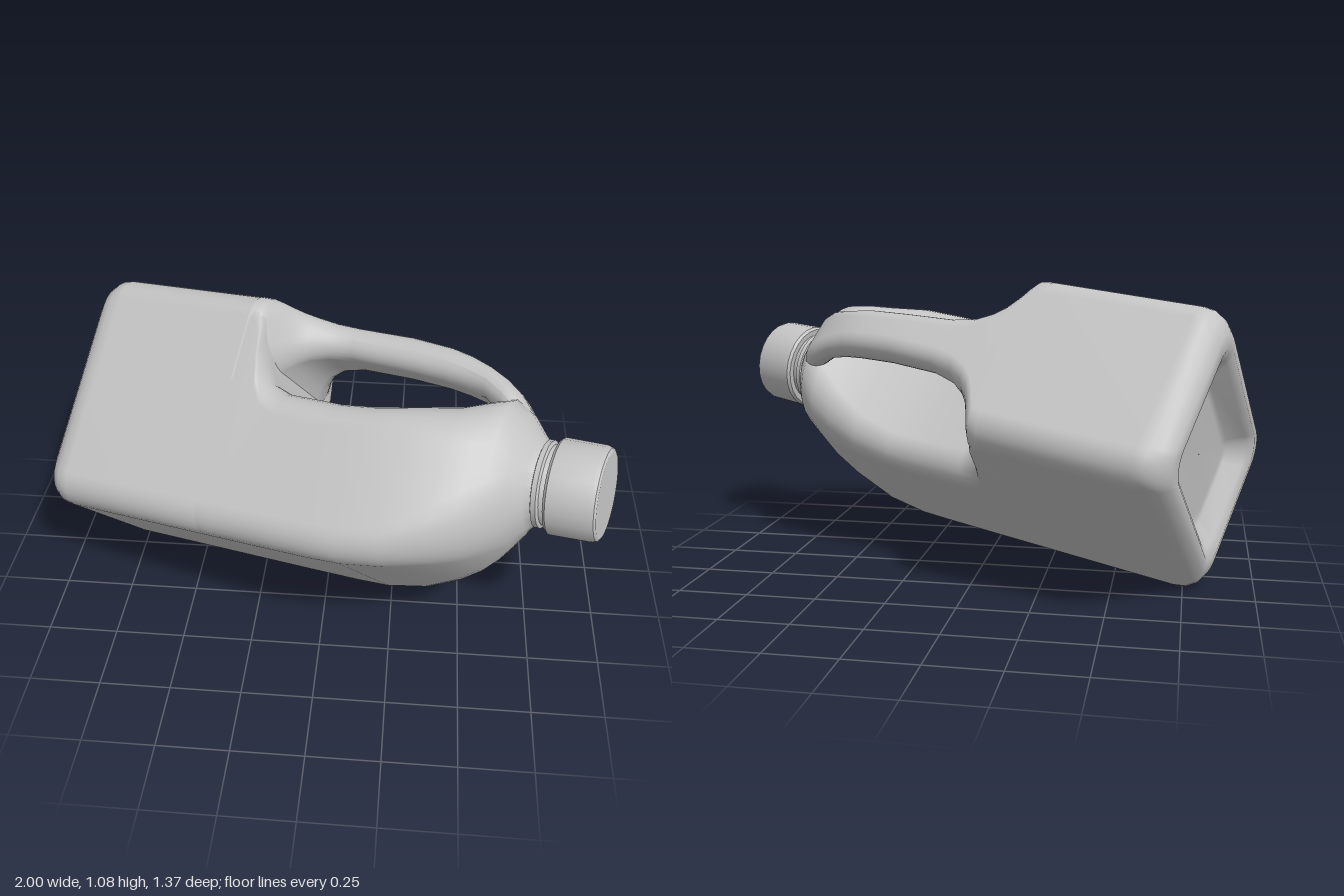
import * as THREE from 'three';
import { toCreasedNormals } from 'three/addons/utils/BufferGeometryUtils.js';

const CORNER = 7; // points per rounded corner

// Skin over rounded-rectangle rings [height, xMin, xMax, half depth, corner radius]
function loft(rings) {
  const pos = [], index = [], n = CORNER * 4;
  for (const [y, x0, x1, b, radius] of rings) {
    const a = (x1 - x0) / 2, c = (x0 + x1) / 2;
    const r = Math.min(radius, a, b);
    for (let q = 0; q < 4; q++) {
      const sx = q === 0 || q === 3 ? 1 : -1, sz = q < 2 ? 1 : -1;
      for (let k = 0; k < CORNER; k++) {
        const t = (q + k / (CORNER - 1)) * Math.PI / 2;
        pos.push(c + sx * (a - r) + r * Math.cos(t), y, sz * (b - r) + r * Math.sin(t));
      }
    }
  }
  for (let i = 0; i < rings.length - 1; i++) {
    for (let j = 0; j < n; j++) {
      const p = i * n + j, q = i * n + (j + 1) % n;
      index.push(p, p + n, q, q, p + n, q + n);
    }
  }
  const g = new THREE.BufferGeometry();
  g.setAttribute('position', new THREE.Float32BufferAttribute(pos, 3));
  g.setIndex(index);
  g.computeVertexNormals();
  return g;
}

function lathe(points, sides) {
  const g = new THREE.LatheGeometry(points.map(([r, y]) => new THREE.Vector2(r, y)), sides);
  return toCreasedNormals(g, 0.5);
}

export function createModel() {
  const plastic = new THREE.MeshStandardMaterial({ color: 0xc4c4c4 });
  plastic.name = 'grey plastic';

  const jug = new THREE.Group();
  jug.name = 'jug';
  const add = (name, geometry) => {
    const m = new THREE.Mesh(geometry, plastic);
    m.name = name;
    jug.add(m);
  };

  // Recessed base and straight sides
  const base = [
    [0.015, -0.001, 0.001, 0.001, 0.001],
    [0.015, -0.22, 0.22, 0.15, 0.05],
    [0.01, -0.25, 0.25, 0.18, 0.06],
    [-0.04, -0.305, 0.305, 0.23, 0.08],
    [-0.06, -0.34, 0.34, 0.262, 0.09],
    [-0.053, -0.378, 0.378, 0.297, 0.09],
    [-0.025, -0.413, 0.413, 0.329, 0.1],
    [0.01, -0.43, 0.43, 0.345, 0.1],
    [0.05, -0.435, 0.435, 0.35, 0.1],
    [0.598, -0.435, 0.435, 0.35, 0.1],
  ];
  // Hand pocket on the +x side, then the shoulder up to the neck
  const pocketAndShoulder = [
    [0.6, -0.435, 0.434, 0.35, 0.1],
    [0.635, -0.435, 0.42, 0.35, 0.1],
    [0.655, -0.435, 0.37, 0.35, 0.1],
    [0.668, -0.435, 0.28, 0.35, 0.1],
    [0.69, -0.435, 0.19, 0.35, 0.1],
    [0.73, -0.435, 0.125, 0.35, 0.1],
    [0.8, -0.435, 0.1, 0.35, 0.1],
    [1.0, -0.434, 0.095, 0.35, 0.1],
    [1.12, -0.43, 0.105, 0.35, 0.1],
    [1.27, -0.405, 0.135, 0.343, 0.12],
    [1.4, -0.36, 0.175, 0.318, 0.16],
    [1.48, -0.32, 0.22, 0.293, 0.19],
    [1.54, -0.275, 0.25, 0.26, 0.2],
    [1.59, -0.225, 0.22, 0.218, 0.2],
    [1.635, -0.165, 0.165, 0.165, 0.165],
    [1.66, -0.14, 0.14, 0.14, 0.14],
    [1.71, -0.135, 0.135, 0.135, 0.135],
  ];
  add('body', loft([...base, ...pocketAndShoulder]));

  // Handle: flares out of the body wall and runs up into the shoulder
  add('handle', loft([
    [0.598, 0, 0.436, 0.351, 0.1],
    [0.64, 0.05, 0.436, 0.345, 0.1],
    [0.66, 0.12, 0.436, 0.315, 0.1],
    [0.68, 0.18, 0.436, 0.268, 0.09],
    [0.71, 0.235, 0.436, 0.212, 0.08],
    [0.75, 0.275, 0.436, 0.165, 0.07],
    [0.81, 0.3, 0.434, 0.127, 0.065],
    [0.9, 0.31, 0.432, 0.105, 0.06],
    [1.1, 0.3, 0.428, 0.095, 0.06],
    [1.25, 0.285, 0.41, 0.095, 0.06],
    [1.33, 0.27, 0.39, 0.095, 0.06],
    [1.41, 0.25, 0.358, 0.1, 0.06],
    [1.48, 0.2, 0.32, 0.115, 0.07],
    [1.54, 0.15, 0.275, 0.12, 0.07],
    [1.6, 0.08, 0.205, 0.09, 0.06],
  ]));

  // Neck ring and screw cap
  add('neckRing', lathe([[0.13, 1.65], [0.15, 1.658], [0.15, 1.675], [0.13, 1.685]], 24));
  add('cap', lathe([[0.12, 1.7], [0.157, 1.7], [0.165, 1.71], [0.162, 1.85],
    [0.156, 1.866], [0.146, 1.872], [0, 1.872]], 24));

  // Lay the jug down on one edge with the cap raised and turned forward
  const up = new THREE.Vector3(0.935, 0.112, 0.347).normalize();
  const out = new THREE.Vector3(0.178, 0.667, -0.724);
  out.addScaledVector(up, -out.dot(up)).normalize();
  const side = new THREE.Vector3().crossVectors(out, up);
  jug.quaternion.setFromRotationMatrix(new THREE.Matrix4().makeBasis(out, up, side));
  jug.position.set(-0.805, 0.5, -0.215);

  const model = new THREE.Group();
  model.name = 'handledJug';
  model.add(jug);
  return model;
}
